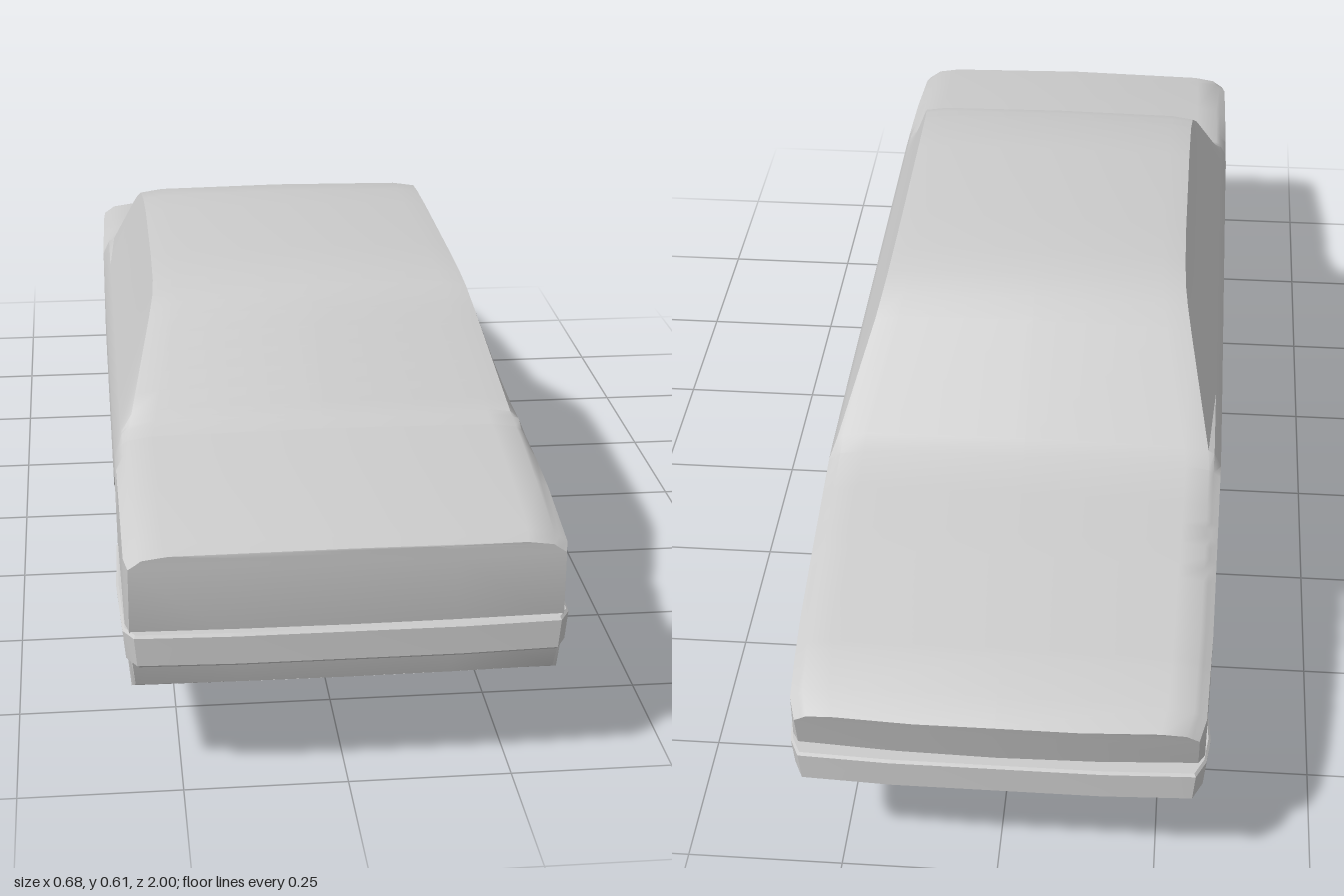
import * as THREE from 'three';
import { toCreasedNormals } from 'three/addons/utils/BufferGeometryUtils.js';

const material = new THREE.MeshStandardMaterial({ color: 0xcccccc });
const AXLES = [0.535, -0.7];
const WHEEL_R = 0.125, ARCH_R = 0.165, ARCH_Y = 0.125;

// Curves along the car as [z, value] pairs
const TOP = [[-0.985, 0.318], [-0.95, 0.335], [-0.88, 0.356], [-0.65, 0.388], [-0.45, 0.41], [-0.42, 0.428],
  [-0.25, 0.555], [-0.21, 0.58], [-0.17, 0.597], [-0.1, 0.605], [0, 0.609], [0.25, 0.608], [0.37, 0.604],
  [0.42, 0.595], [0.46, 0.568], [0.6, 0.438], [0.63, 0.424], [0.8, 0.405], [0.95, 0.385], [0.978, 0.38]];
const FLOOR = [[-0.985, 0.18], [-0.865, 0.175], [-0.535, 0.105], [0.365, 0.122], [0.7, 0.135], [0.978, 0.157]];
const WIDTH = [[-0.985, 0.312], [-0.95, 0.322], [-0.8, 0.328], [-0.4, 0.335], [0.6, 0.335], [0.95, 0.331], [0.978, 0.325]];

function sample(curve, z) {
  for (let i = 1; i < curve.length; i++) {
    const [z0, a] = curve[i - 1], [z1, b] = curve[i];
    if (z <= z1) return a + (b - a) * (z - z0) / (z1 - z0);
  }
  return curve[curve.length - 1][1];
}

// Half cross-section from the floor centre, round the wheel well and side, to the top centre
function halfSection(z) {
  const top = sample(TOP, z), floor = sample(FLOOR, z), w = sample(WIDTH, z);
  let sill = floor;
  for (const axle of AXLES) {
    const d = Math.abs(z - axle);
    if (d < ARCH_R) sill = Math.max(sill, ARCH_Y + Math.sqrt(ARCH_R ** 2 - d ** 2));
  }
  const edge = top > 0.42 ? w - 0.02 - 0.3 * (top - 0.42) : w - 0.02;
  return [[0, floor], [0.17, floor], [0.17, sill], [w - 0.008, sill], [w, Math.max(0.24, sill + 0.008)],
    [w, Math.min(0.39, top - 0.02)], [w - 0.012, Math.min(0.42, top - 0.012)],
    [edge, top - 0.006], [edge - 0.04, top], [0, top + 0.003]];
}

function bodyGeometry() {
  const stations = TOP.map(p => p[0]);
  for (const axle of AXLES) {
    for (let i = 0; i <= 20; i++) stations.push(axle - ARCH_R * Math.cos(Math.PI * i / 20));
  }
  stations.sort((a, b) => a - b);
  const first = stations[0], last = stations[stations.length - 1];

  // Ends are bowed in plan and raked in profile
  const ring = (z, scale = 1) => {
    const half = halfSection(z).map(([x, y]) => [x * scale, y]);
    const full = [...half, ...half.slice(1, -1).reverse().map(([x, y]) => [-x, y])];
    return full.map(([x, y]) => {
      let pz = z;
      if (z === first) pz += (0.318 - y) * 0.25 - 0.014 * (1 - (x / 0.33) ** 2);
      if (z === last) pz += 0.006 * (1 - (x / 0.33) ** 2) - Math.max(0, 0.2 - y) * 0.6;
      return new THREE.Vector3(x, y, pz);
    });
  };
  // Rings shrinking to the centre line close both ends
  const rings = [ring(first, 0), ring(first, 0.5), ...stations.map(z => ring(z)), ring(last, 0.5), ring(last, 0)];

  const positions = [];
  const triangle = (...pts) => {
    if (new THREE.Triangle(...pts).getArea() > 1e-8) pts.forEach(p => positions.push(p.x, p.y, p.z));
  };
  for (let i = 0; i < rings.length - 1; i++) {
    const n = rings[i].length;
    for (let j = 0; j < n; j++) {
      const k = (j + 1) % n;
      triangle(rings[i][j], rings[i][k], rings[i + 1][k]);
      triangle(rings[i][j], rings[i + 1][k], rings[i + 1][j]);
    }
  }
  const geometry = new THREE.BufferGeometry();
  geometry.setAttribute('position', new THREE.Float32BufferAttribute(positions, 3));
  return toCreasedNormals(geometry, 0.6);
}

// U-shaped bumper wrapping round one end; dir is +1 or -1 along z
function bumperGeometry({ dir, width, tip, corner, end, bottom, height, slant }) {
  const outer = [[width - 0.004, end], [width, (end + corner) / 2], [width - 0.006, corner],
    [width - 0.022, tip - 0.007], [width * 0.5, tip - 0.001]];
  const inner = [[width - 0.04, tip - 0.05], [width - 0.03, end]];
  const mirror = list => list.map(([x, z]) => [-x, z]).reverse();
  const outline = [...outer, ...mirror(outer), ...mirror(inner), ...inner];
  const shape = new THREE.Shape(outline.map(([x, z]) => new THREE.Vector2(x, -z * dir)));
  const bevel = 0.004;
  const geometry = new THREE.ExtrudeGeometry(shape, {
    depth: height - 2 * bevel, bevelThickness: bevel, bevelSize: bevel, bevelOffset: -bevel, bevelSegments: 1,
  });
  geometry.rotateX(-Math.PI / 2).translate(0, bottom + bevel, 0);
  // Slant the free ends and tuck the lower edge inwards
  const p = geometry.attributes.position;
  for (let i = 0; i < p.count; i++) {
    const low = 1 - (p.getY(i) - bottom) / height;
    if (p.getZ(i) * dir < end + 0.02) p.setZ(i, p.getZ(i) + dir * slant * low);
    p.setX(i, p.getX(i) * (1 - 0.015 * low));
  }
  return toCreasedNormals(geometry, 0.5);
}

// Tyre and hub turned about the axle, outer side towards +x
function wheelGeometry() {
  const profile = [[0, -0.032], [0.112, -0.032], [0.121, -0.029], [WHEEL_R, -0.022], [WHEEL_R, 0.02],
    [0.121, 0.028], [0.112, 0.032], [0.08, 0.033], [0.078, 0.028], [0.074, 0.028], [0.072, 0.034], [0, 0.036]];
  const geometry = new THREE.LatheGeometry(profile.map(([r, y]) => new THREE.Vector2(r, y)), 40);
  geometry.rotateZ(-Math.PI / 2);
  return toCreasedNormals(geometry, 0.7);
}

export function createModel() {
  const car = new THREE.Group();
  car.name = 'car';
  const add = (name, geometry) => {
    const mesh = new THREE.Mesh(geometry, material);
    mesh.name = name;
    car.add(mesh);
    return mesh;
  };

  add('body', bodyGeometry());
  add('trunkBumper', bumperGeometry({
    dir: 1, width: 0.341, tip: 1, corner: 0.965, end: 0.67, bottom: 0.206, height: 0.053, slant: 0.04,
  }));
  add('hoodBumper', bumperGeometry({
    dir: -1, width: 0.331, tip: 1, corner: 0.96, end: 0.865, bottom: 0.182, height: 0.055, slant: 0.015,
  }));

  const wheel = wheelGeometry();
  for (const z of AXLES) {
    for (const side of [1, -1]) {
      const mesh = add(side > 0 ? 'leftWheel' : 'rightWheel', wheel);
      mesh.position.set(side * 0.282, WHEEL_R, z);
      if (side < 0) mesh.rotation.y = Math.PI;
    }
  }
  return car;
}
